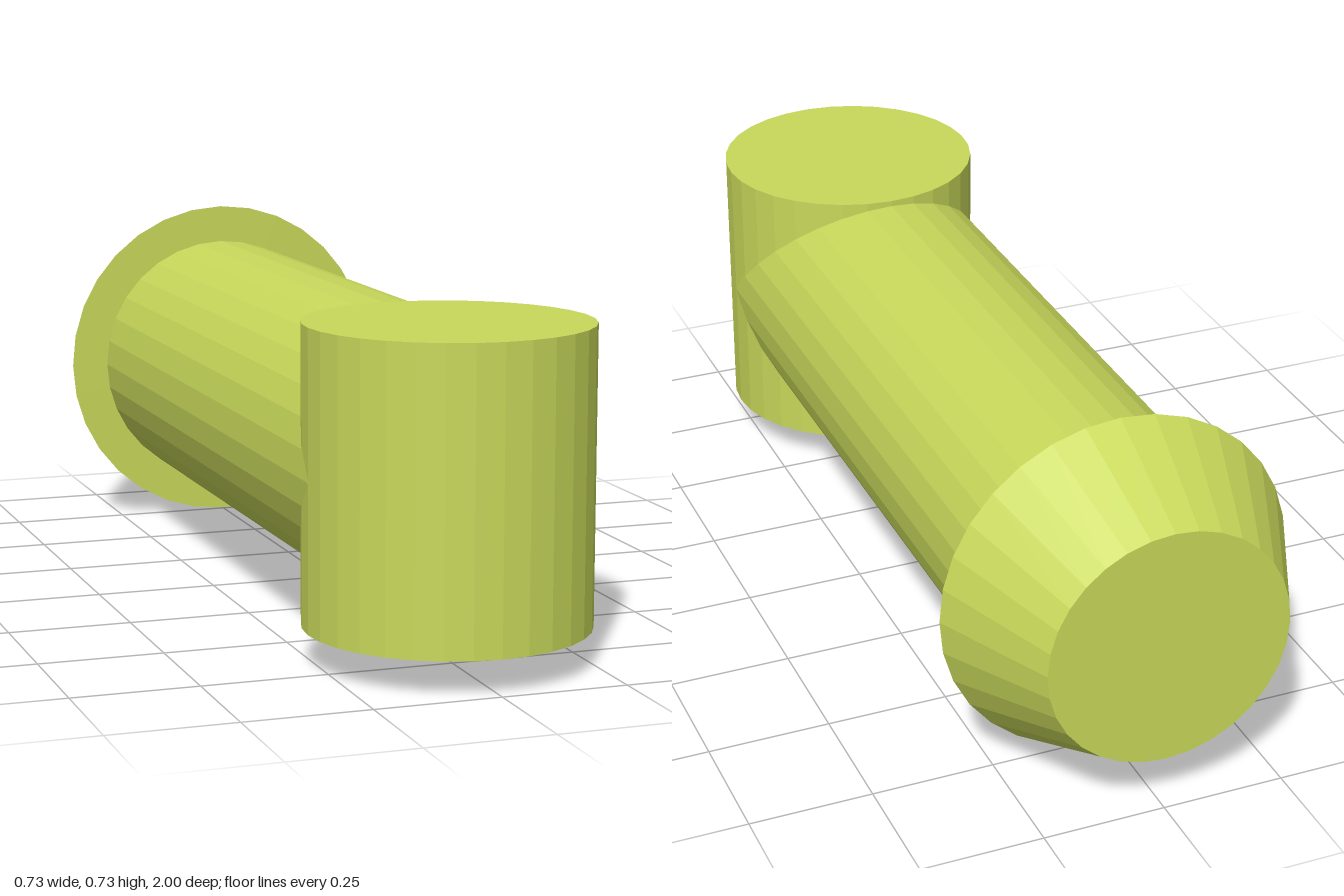
import * as THREE from 'three';

const SIDES = 32;
const AXIS_Y = 0.365; // height of the shaft's centre line

export function createModel() {
  const group = new THREE.Group();
  const material = new THREE.MeshStandardMaterial({ color: 0xc8d85a, flatShading: true });

  // Round part running along z; radii given at its front and back ends
  const alongZ = (name, frontRadius, backRadius, frontZ, backZ) => {
    const geometry = new THREE.CylinderGeometry(frontRadius, backRadius, frontZ - backZ, SIDES);
    geometry.rotateX(Math.PI / 2);
    const mesh = new THREE.Mesh(geometry, material);
    mesh.name = name;
    mesh.position.set(0, AXIS_Y, (frontZ + backZ) / 2);
    group.add(mesh);
  };

  // Upright post at the front
  const post = new THREE.Mesh(new THREE.CylinderGeometry(0.28, 0.28, 0.585, SIDES), material);
  post.name = 'post';
  post.position.set(0, AXIS_Y, 0.72);
  group.add(post);

  // Horizontal shaft, starting inside the post
  alongZ('shaft', 0.2805, 0.2805, 0.72, -0.76);

  // Tapered head at the back
  alongZ('head', 0.363, 0.248, -0.757, -1);

  return group;
}
